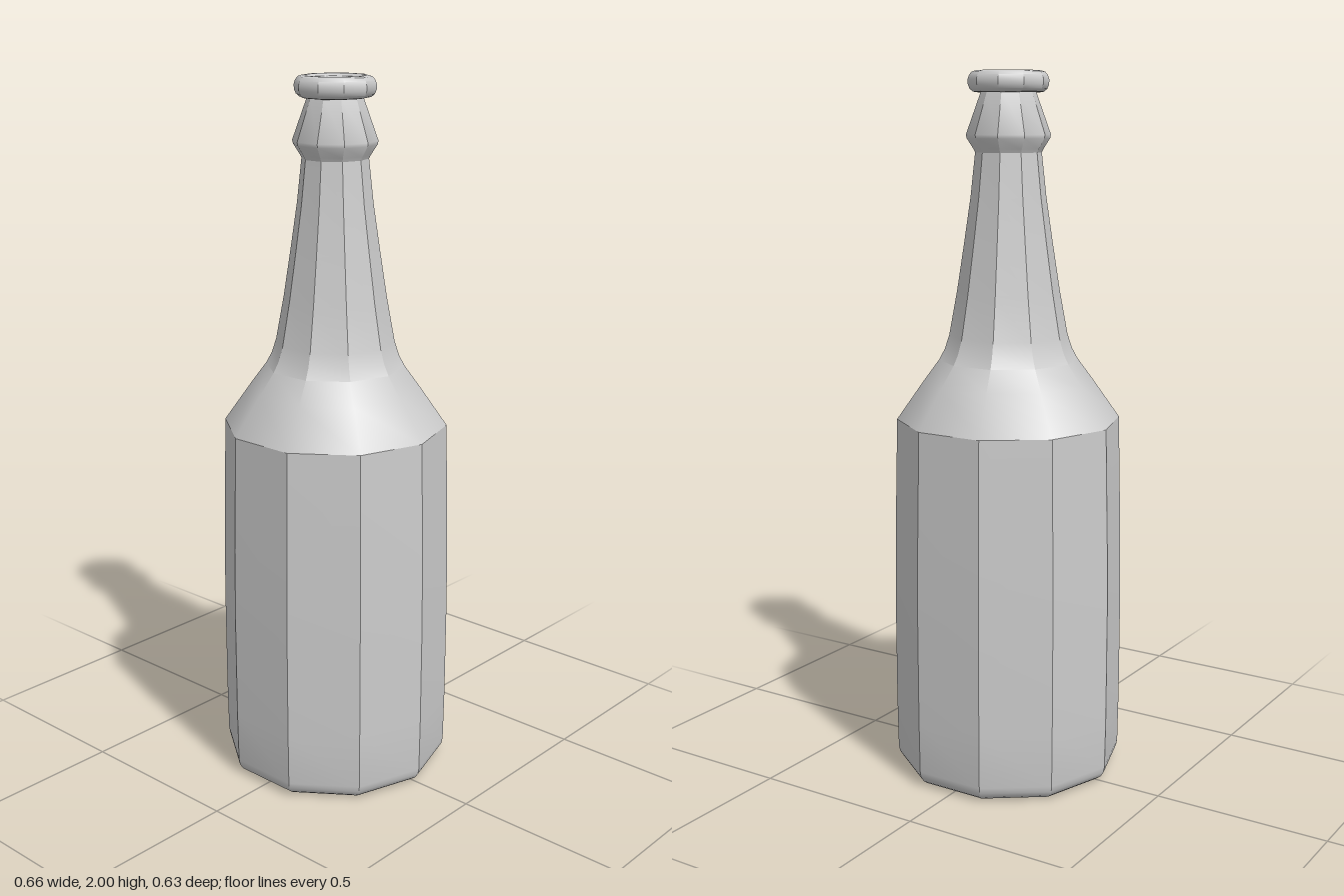
import * as THREE from 'three';
import { toCreasedNormals } from 'three/addons/utils/BufferGeometryUtils.js';

const SIDES = 10;
const material = new THREE.MeshStandardMaterial({ color: 0xcccccc, side: THREE.DoubleSide });

// Ten-sided lathe with a corner on the x axis; only angles over 30 degrees stay sharp
function turned(name, profile) {
  const points = profile.map(([r, y]) => new THREE.Vector2(r, y));
  const lathe = new THREE.LatheGeometry(points, SIDES, Math.PI / 2);
  const mesh = new THREE.Mesh(toCreasedNormals(lathe, Math.PI / 6), material);
  mesh.name = name;
  return mesh;
}

// Quarter-round or larger arc of profile points
function arc(cx, cy, rx, ry, from, to, steps) {
  return Array.from({ length: steps + 1 }, (_, i) => {
    const a = THREE.MathUtils.degToRad(from + ((to - from) * i) / steps);
    return [cx + rx * Math.cos(a), cy + ry * Math.sin(a)];
  });
}

export function createModel() {
  const bottle = new THREE.Group();
  bottle.name = 'bottle';

  // Flat base, rounded heel, slightly tapering body, shoulder and neck
  bottle.add(turned('body', [
    [0, 0],
    ...arc(0.285, 0.045, 0.042, 0.045, -90, 0, 4),
    [0.329, 0.2], [0.329, 0.5], [0.326, 0.7], [0.317, 1.035],
    [0.24, 1.145], [0.196, 1.205], [0.18, 1.235], [0.167, 1.275],
    [0.144, 1.4], [0.124, 1.53], [0.105, 1.66], [0.092, 1.78],
  ]));

  // Flared collar below the mouth
  bottle.add(turned('collar', [
    [0.092, 1.78], [0.097, 1.79], [0.115, 1.818], [0.117, 1.828], [0.076, 1.942],
  ]));

  // Rounded lip with a shallow closed mouth
  bottle.add(turned('lip', [
    [0.076, 1.942], [0.09, 1.941],
    ...arc(0.09, 1.97, 0.022, 0.029, -70, 90, 6),
    [0.082, 1.999], [0.073, 1.992], [0.067, 1.975], [0.067, 1.955], [0, 1.955],
  ]));

  return bottle;
}
